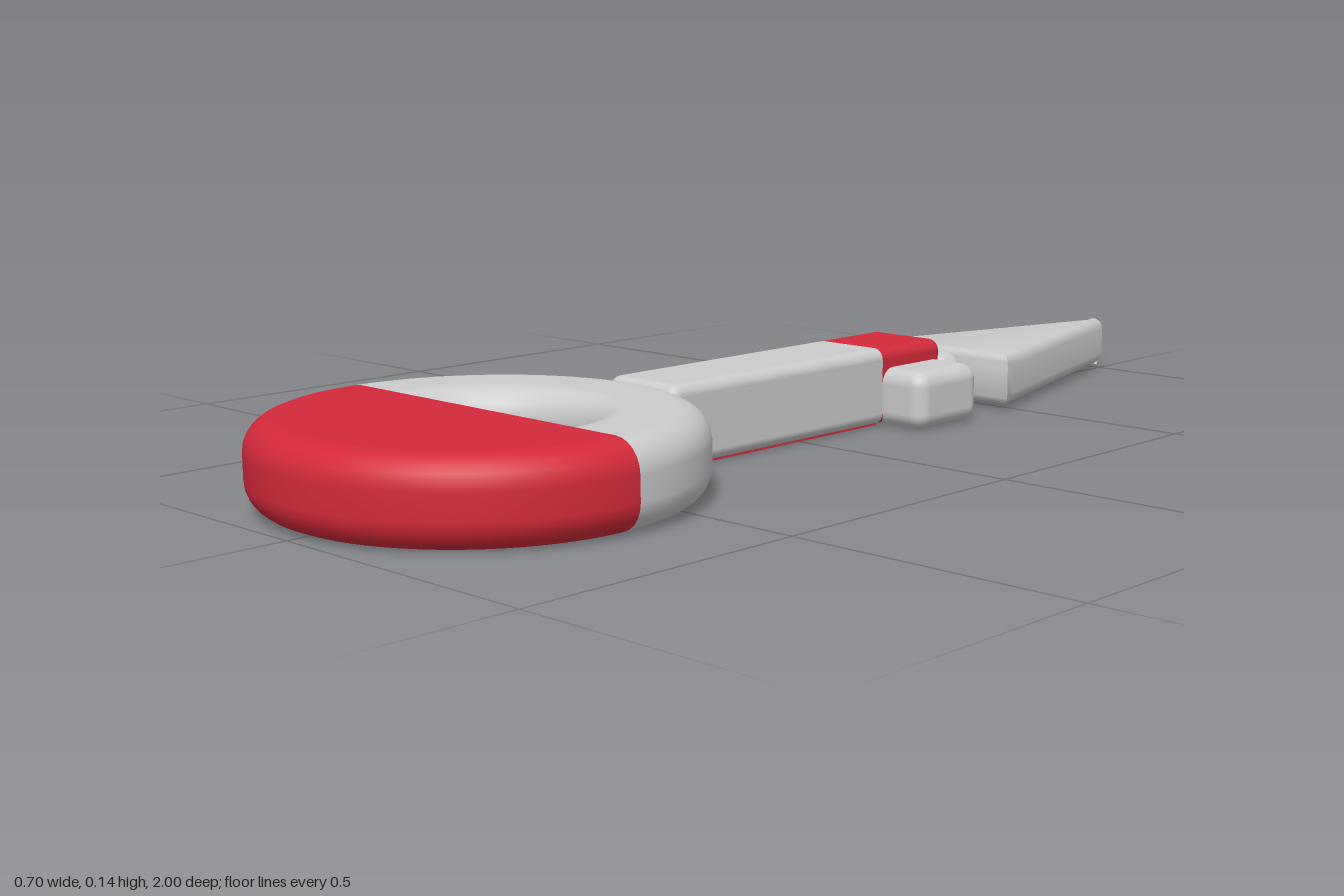
import * as THREE from 'three';
import { RoundedBoxGeometry } from 'three/addons/geometries/RoundedBoxGeometry.js';
import { toCreasedNormals } from 'three/addons/utils/BufferGeometryUtils.js';

const grey = new THREE.MeshStandardMaterial({ color: 0xcccccc });
const red = new THREE.MeshStandardMaterial({ color: 0xd42a3a });

const H = 0.14;      // full thickness
const RING_Z = 0.65; // centre of the round end
const SPLIT_Z = -0.2; // colour change along the handle

export function createModel() {
  const model = new THREE.Group();
  model.name = 'model';

  const add = (name, geometry, material, x = 0, y = 0, z = 0) => {
    const mesh = new THREE.Mesh(geometry, material);
    mesh.name = name;
    mesh.position.set(x, y, z);
    model.add(mesh);
    return mesh;
  };

  // Rounded block given by its extents; optionally cut flat at a z plane
  const block = (name, material, halfW, [y0, y1], [z0, z1], radius, cut) => {
    const g = new RoundedBoxGeometry(halfW * 2, y1 - y0, z1 - z0, 4, radius);
    g.translate(0, (y0 + y1) / 2, (z0 + z1) / 2);
    if (cut) {
      const p = g.attributes.position;
      for (let i = 0; i < p.count; i++) p.setZ(i, cut(p.getZ(i)));
    }
    return add(name, g, material);
  };

  // Quarter-ellipse points for a rounded rim
  const arc = (cx, cy, rx, ry, from, to, n = 6) =>
    Array.from({ length: n + 1 }, (_, i) => {
      const a = from + ((to - from) * i) / n;
      return new THREE.Vector2(cx + rx * Math.cos(a), cy + ry * Math.sin(a));
    });

  const q = Math.PI / 2;
  const b = 0.05;
  const outerRim = [...arc(0.30, b, b, b, -q, 0), ...arc(0.30, H - b, b, b, 0, q)];
  const innerRim = [...arc(0.22, H - b, b, b, q, 2 * q), ...arc(0.22, b, b, b, 2 * q, 3 * q)];

  // Round end: solid front half, open back half
  const solid = [new THREE.Vector2(0, 0), ...outerRim, new THREE.Vector2(0, H)];
  add('frontHalfDisc', new THREE.LatheGeometry(solid, 48, -q, Math.PI), red, 0, 0, RING_Z);
  const ring = [...outerRim, ...innerRim, outerRim[0].clone()];
  add('backHalfRing', new THREE.LatheGeometry(ring, 48, q, Math.PI), grey, 0, 0, RING_Z);
  const wall = add('discInnerWall', new THREE.PlaneGeometry(0.58, H), red, 0, H / 2, RING_Z);
  wall.rotation.y = Math.PI;

  // Shallow lens filling the hole in the ring
  const lens = [[0, 0.035], [0.09, 0.038], [0.15, 0.048], [0.175, 0.07], [0.15, 0.092], [0.09, 0.102], [0, 0.105]]
    .map(([x, y]) => new THREE.Vector2(x, y));
  add('centreButton', new THREE.LatheGeometry(lens, 32, q, Math.PI), grey, 0, 0, RING_Z);

  // Handle with a coloured collar and a strip underneath
  block('handle', grey, 0.08, [0.004, H], [-0.25, 0.32], 0.02, z => Math.max(z, SPLIT_Z));
  block('handleCollar', red, 0.08, [0.004, H], [-0.37, -0.15], 0.02, z => Math.min(z, SPLIT_Z));
  add('handleUnderStrip', new THREE.BoxGeometry(0.13, 0.01, 0.5), red, 0, 0.006, 0.05);

  // Crossguard and the link to the blade
  block('crossguard', grey, 0.168, [0, 0.105], [-0.37, -0.2], 0.028);
  block('bladeLink', grey, 0.07, [0.008, 0.105], [-0.462, -0.375], 0.035);

  // Triangular blade with rounded edges, pointing to the back
  const outline = new THREE.Shape();
  outline.moveTo(-0.158, 0.467);
  outline.lineTo(0.158, 0.467);
  outline.lineTo(0.15, 0.50);
  outline.lineTo(0.006, 1);
  outline.lineTo(-0.006, 1);
  outline.lineTo(-0.15, 0.50);
  const bevel = 0.022;
  const blade = new THREE.ExtrudeGeometry(outline, {
    depth: 0.095 - bevel * 2, bevelEnabled: true, bevelSegments: 4,
    bevelThickness: bevel, bevelSize: bevel * 0.8, bevelOffset: -bevel * 0.8,
  });
  blade.rotateX(-q);
  add('blade', toCreasedNormals(blade, 0.6), grey, 0, 0.01 + bevel, 0);

  return model;
}
